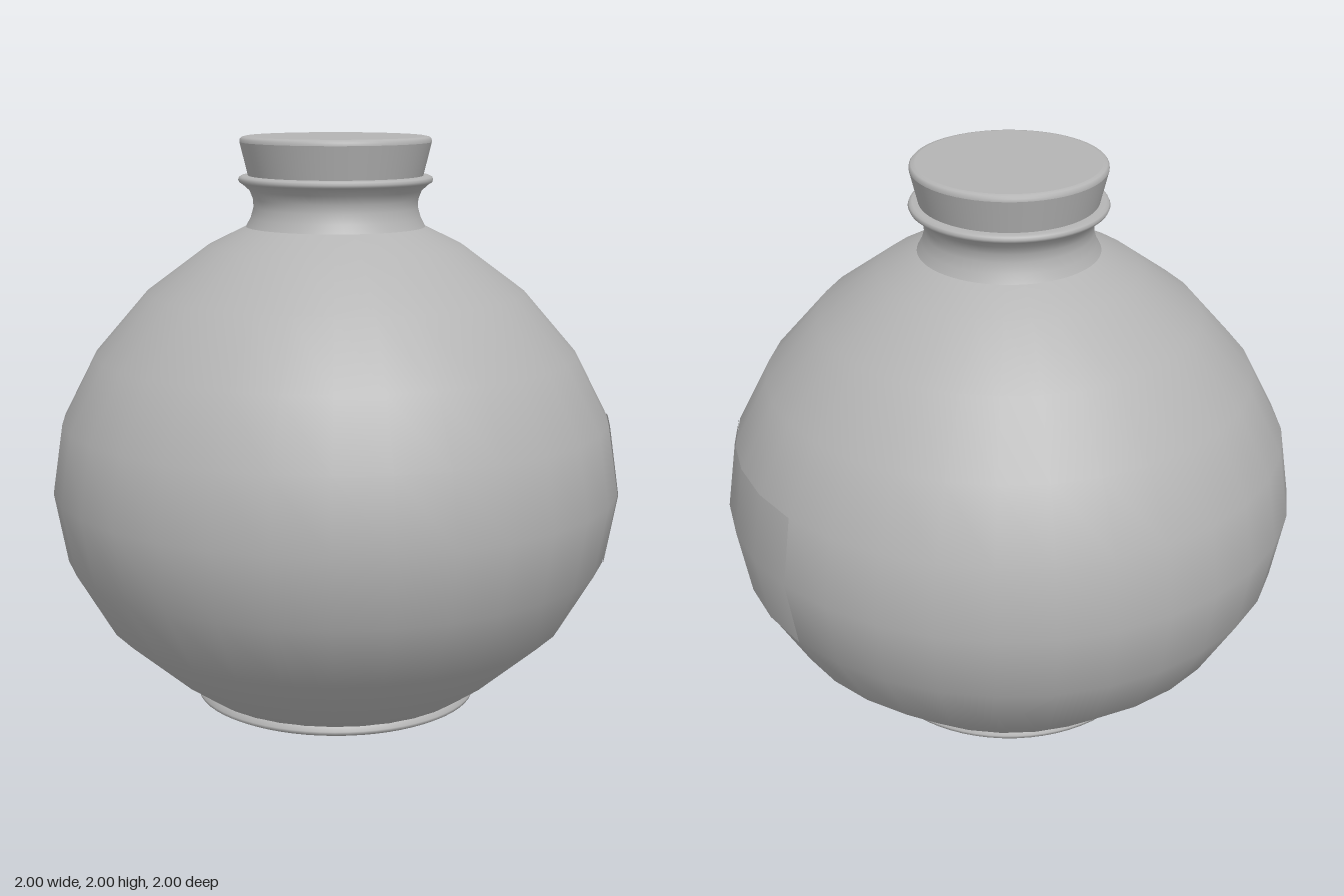
import * as THREE from 'three';

export function createModel() {
  const group = new THREE.Group();
  const grey = new THREE.MeshStandardMaterial({ color: 0xb4b4b4 });
  grey.name = 'plain grey';
  const labelGrey = grey.clone();
  labelGrey.name = 'label grey';
  labelGrey.side = THREE.DoubleSide;

  // Turned part from [radius, height] pairs, listed upwards
  const turn = (name, profile, segments, material = grey, start = 0, sweep = Math.PI * 2) => {
    const points = profile.map(([r, y]) => new THREE.Vector2(r, y));
    const mesh = new THREE.Mesh(new THREE.LatheGeometry(points, segments, start, sweep), material);
    mesh.name = name;
    group.add(mesh);
  };

  // Flat underside and rounded foot
  turn('underside', [[0, 0], [0.485, 0]], 64);
  turn('foot', [[0.485, 0], [0.5, 0.008], [0.503, 0.02], [0.49, 0.035]], 64);

  // Round body
  turn('body', [
    [0.485, 0.03], [0.6, 0.11], [0.82, 0.3], [0.955, 0.53], [1, 0.775], [0.963, 1.02],
    [0.845, 1.25], [0.66, 1.465], [0.445, 1.625], [0.312, 1.69],
  ], 32);

  // Flared neck with a rolled lip
  turn('neck', [
    [0.312, 1.69], [0.296, 1.72], [0.286, 1.755], [0.287, 1.785], [0.299, 1.815], [0.325, 1.838],
  ], 64);
  turn('lip', [
    [0.325, 1.838], [0.334, 1.843], [0.338, 1.852], [0.334, 1.861], [0.324, 1.866], [0.29, 1.866],
  ], 64);

  // Tapered stopper with a rounded top edge
  turn('stopper', [[0.303, 1.862], [0.332, 1.98]], 64);
  turn('stopperRim', [[0.332, 1.98], [0.331, 1.99], [0.325, 1.997], [0.312, 2]], 64);
  turn('stopperTop', [[0.312, 2], [0, 2]], 64);

  // Thin label on the left side, following the body facets
  turn('label', [[0.959, 0.53], [1.003, 0.775], [0.967, 1.02]], 4, labelGrey, Math.PI * 3 / 8, Math.PI / 4);

  return group;
}
